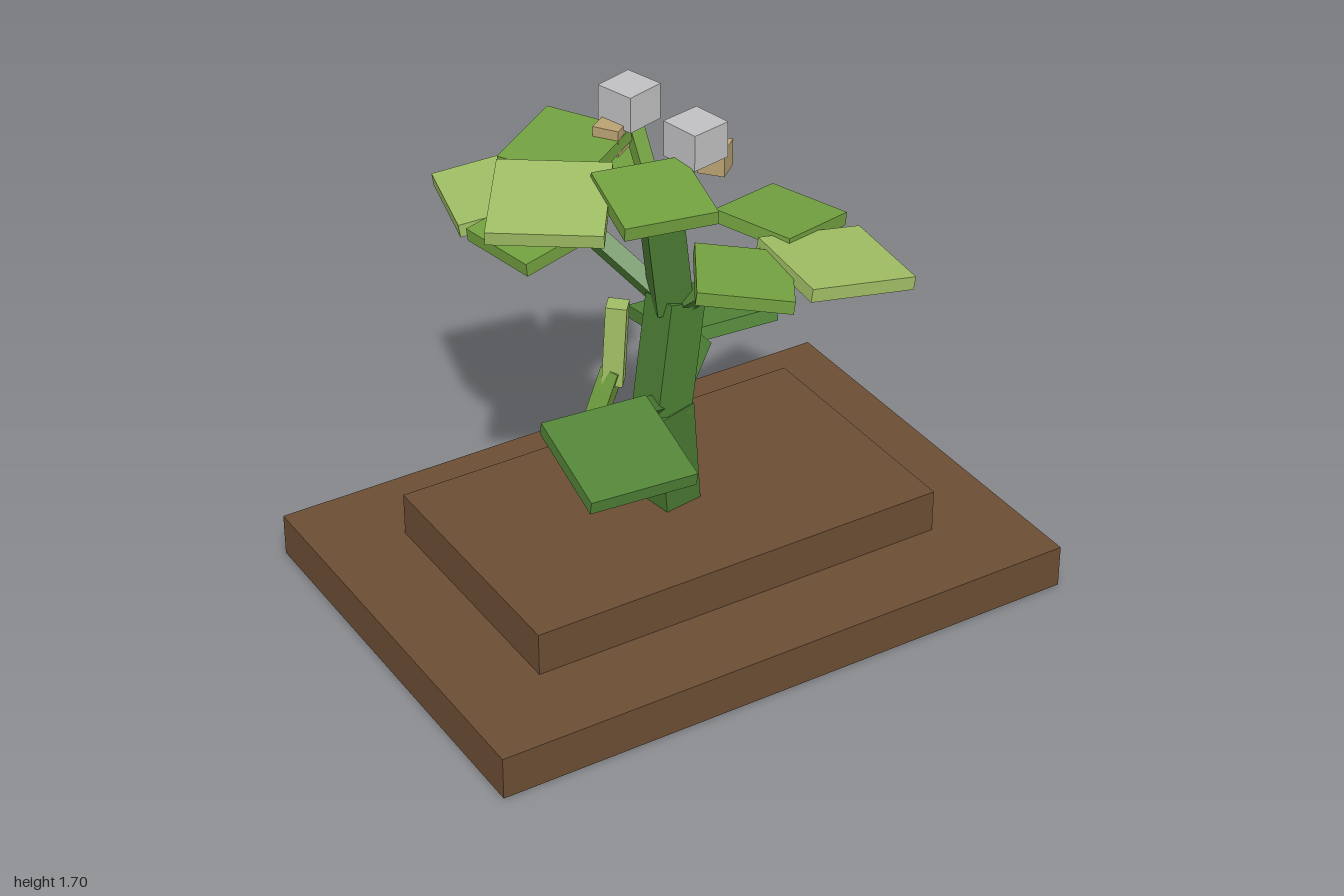
import * as THREE from 'three';

function mat(name, color) {
  const m = new THREE.MeshStandardMaterial({ color });
  m.name = name;
  return m;
}

export function createModel() {
  const soil = mat('soil brown', 0x6b4d34);
  const trunkGreen = mat('trunk green', 0x4a7a32);
  const darkLeaf = mat('dark leaf green', 0x538538);
  const midLeaf = mat('leaf green', 0x72a040);
  const paleLeaf = mat('pale leaf green', 0x9fbd64);
  const seedOlive = mat('seed olive', 0x8a783c);
  const budTan = mat('bud tan', 0xbaa272);
  const bloomGrey = mat('bloom grey', 0xc0c0c2);

  const model = new THREE.Group();
  model.name = 'plant';

  // Box centred at a point; yaw turns its +z side outward, pitch tips that side down
  function slab(parent, name, material, pos, size, yaw = 0, pitch = 0) {
    const m = new THREE.Mesh(new THREE.BoxGeometry(...size), material);
    m.name = name;
    m.position.set(...pos);
    m.rotation.set(pitch, yaw, 0, 'YXZ');
    parent.add(m);
    return m;
  }

  // Square bar running between two points
  function bar(name, material, from, to, thick, twist = 0) {
    const a = new THREE.Vector3(...from);
    const b = new THREE.Vector3(...to);
    const dir = b.clone().sub(a);
    const g = new THREE.BoxGeometry(thick, dir.length(), thick);
    g.rotateY(twist);
    const m = new THREE.Mesh(g, material);
    m.name = name;
    m.position.copy(a).add(b).multiplyScalar(0.5);
    m.quaternion.setFromUnitVectors(new THREE.Vector3(0, 1, 0), dir.normalize());
    model.add(m);
  }

  // Stepped soil bed
  slab(model, 'lowerSoil', soil, [0, 0.0715, 0.02], [2, 0.143, 1.43]);
  slab(model, 'upperSoil', soil, [0, 0.215, 0.017], [1.426, 0.144, 0.855]);

  // Zigzag trunk
  bar('lowerTrunk', trunkGreen, [0, 0.28, 0.025], [-0.042, 0.66, 0.052], 0.135, 0.15);
  bar('middleTrunk', trunkGreen, [-0.047, 0.64, 0.052], [0.028, 0.995, 0.01], 0.13, 0.1);
  bar('upperTrunk', trunkGreen, [0.015, 0.975, 0.008], [-0.025, 1.275, 0.018], 0.115, -0.3);

  // Two broad lower leaves
  slab(model, 'lowerLeafLeft', darkLeaf, [0.273, 0.738, -0.225], [0.355, 0.045, 0.34], 3.07, 0.215);
  slab(model, 'lowerLeafRight', darkLeaf, [-0.36, 0.736, 0.32], [0.345, 0.045, 0.355], -0.09, 0.21);
  bar('lowerLeafStemLeft', trunkGreen, [0.01, 0.655, 0.035], [0.17, 0.75, -0.08], 0.058);
  bar('lowerLeafStemRight', trunkGreen, [-0.05, 0.65, 0.05], [-0.22, 0.745, 0.17], 0.058);

  // Three-leaf sprays, each the same arrangement turned about the trunk
  const sprays = [
    { pos: [0.345, 1.207, 0.395], yaw: 1.485, root: [0.03, 0.99, 0.04] },
    { pos: [-0.285, 1.21, -0.505], yaw: -1.82, root: [0, 0.99, -0.03] },
    { pos: [-0.465, 1.52, 0.125], yaw: -0.61, root: [-0.035, 1.25, 0.025] },
  ];
  for (const { pos, yaw, root } of sprays) {
    const spray = new THREE.Group();
    spray.name = 'leafSpray';
    spray.position.set(...pos);
    spray.rotation.y = yaw;
    slab(spray, 'tipLeaf', paleLeaf, [0, 0, 0], [0.338, 0.043, 0.348], 0, 0.14);
    slab(spray, 'sideLeaf', midLeaf, [0.297, 0.012, -0.025], [0.283, 0.043, 0.287], 0.42, 0.12);
    slab(spray, 'backLeaf', midLeaf, [0.018, 0.018, -0.297], [0.287, 0.043, 0.287], -0.45, 0.12);
    spray.updateMatrixWorld();
    model.add(spray);
    const tip = spray.localToWorld(new THREE.Vector3(0.13, -0.005, -0.15));
    bar('leafSprayStem', trunkGreen, root, tip.toArray(), 0.056);
  }

  // Flower stalks, each with a grey bloom and a tan bud
  bar('flowerStalkFront', midLeaf, [-0.025, 1.26, 0.03], [-0.005, 1.58, 0.15], 0.046);
  bar('flowerStalkBack', midLeaf, [-0.03, 1.26, 0.035], [-0.065, 1.6, -0.095], 0.046);
  slab(model, 'bloomFront', bloomGrey, [0, 1.615, 0.165], [0.132, 0.115, 0.132], 0.2);
  slab(model, 'bloomBack', bloomGrey, [-0.07, 1.642, -0.09], [0.13, 0.115, 0.13], 0.28);
  slab(model, 'budFront', budTan, [0.079, 1.528, 0.147], [0.083, 0.085, 0.083], 0.7);
  slab(model, 'budBack', budTan, [-0.143, 1.556, -0.072], [0.083, 0.085, 0.083], 0.6);

  // Seed case and shrivelled first leaf hanging behind the trunk
  slab(model, 'seedCase', seedOlive, [-0.122, 0.532, -0.062], [0.095, 0.083, 0.13], 0.15);
  bar('hangingLeafTop', paleLeaf, [-0.118, 0.965, -0.088], [-0.133, 0.69, -0.092], 0.066, 0.15);
  bar('hangingLeafTip', midLeaf, [-0.135, 0.74, -0.09], [-0.185, 0.565, -0.112], 0.06, 0.15);

  return model;
}
